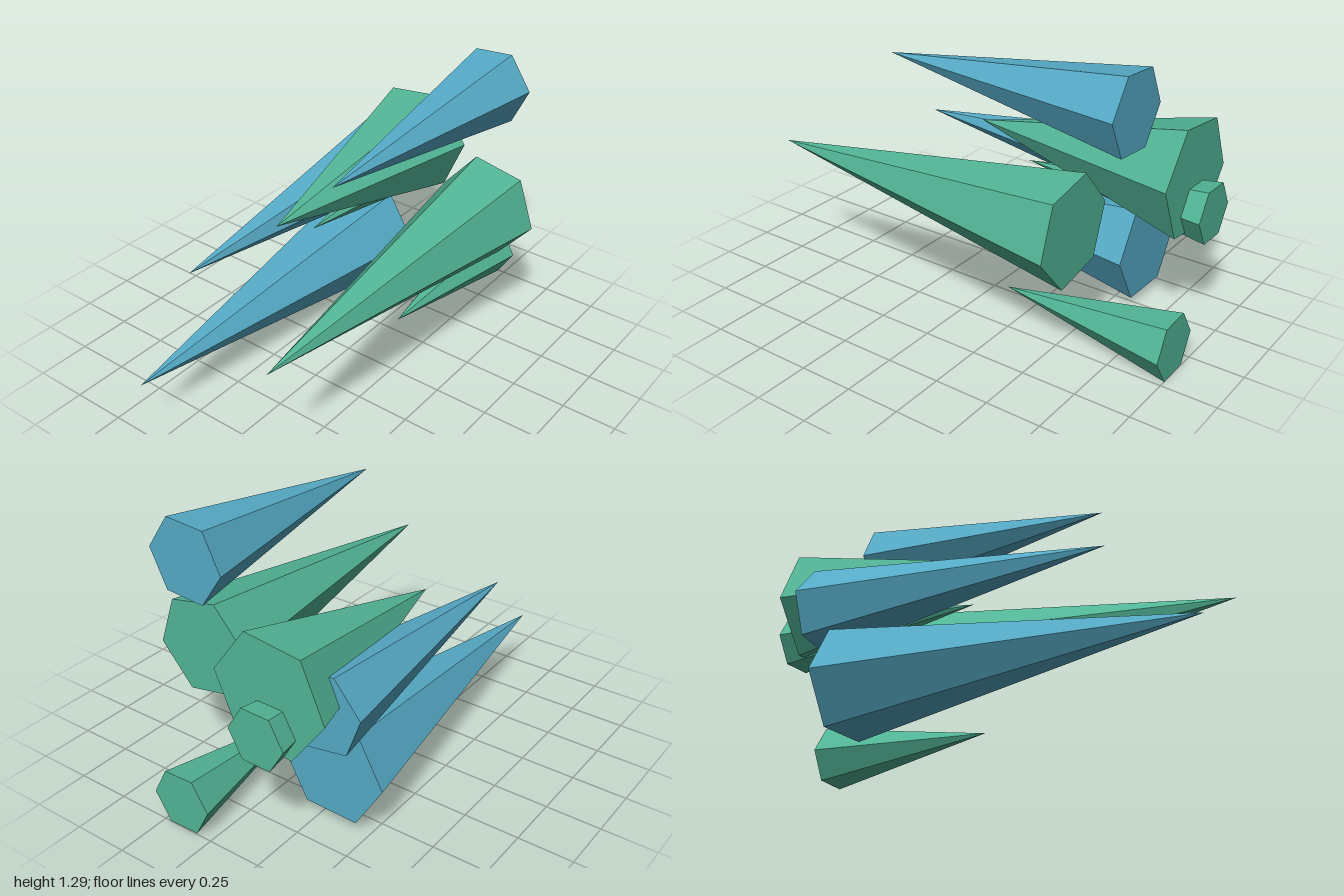
import * as THREE from 'three';

export function createModel() {
  const model = new THREE.Group();
  model.name = 'spikeCluster';

  const blue = new THREE.MeshStandardMaterial({ color: 0x56abc7, flatShading: true });
  blue.name = 'blue';
  const green = new THREE.MeshStandardMaterial({ color: 0x52b596, flatShading: true });
  green.name = 'green';

  // Six-sided spike with its base at zBase and its point at zTip, facing +z;
  // angle (degrees) is the direction of one base corner.
  function spike(name, material, x, y, radius, angle, zBase, zTip) {
    const geometry = new THREE.ConeGeometry(radius, zTip - zBase, 6);
    geometry.rotateX(Math.PI / 2);
    geometry.rotateZ(THREE.MathUtils.degToRad(angle - 30));
    const mesh = new THREE.Mesh(geometry, material);
    mesh.name = name;
    mesh.position.set(x, y, (zBase + zTip) / 2);
    model.add(mesh);
  }

  // Blue spikes
  spike('topBlueSpike', blue, 0.217, 1.129, 0.185, 4.4, -0.81, 0.39);
  spike('middleBlueSpike', blue, -0.365, 0.622, 0.192, 50.5, -0.73, 0.635);
  spike('lowerBlueSpike', blue, -0.325, 0.272, 0.25, 1.5, -0.61, 1.0);

  // Green spikes
  spike('largeGreenSpike', green, -0.222, 0.71, 0.271, 6.8, -0.865, 0.23);
  spike('innerGreenSpike', green, -0.229, 0.569, 0.136, 1.4, -0.955, -0.03);
  spike('sideGreenSpike', green, 0.337, 0.622, 0.24, 49.2, -0.625, 0.945);
  spike('bottomGreenSpike', green, 0.15, 0.133, 0.145, -2.2, -1.0, -0.18);

  return model;
}
